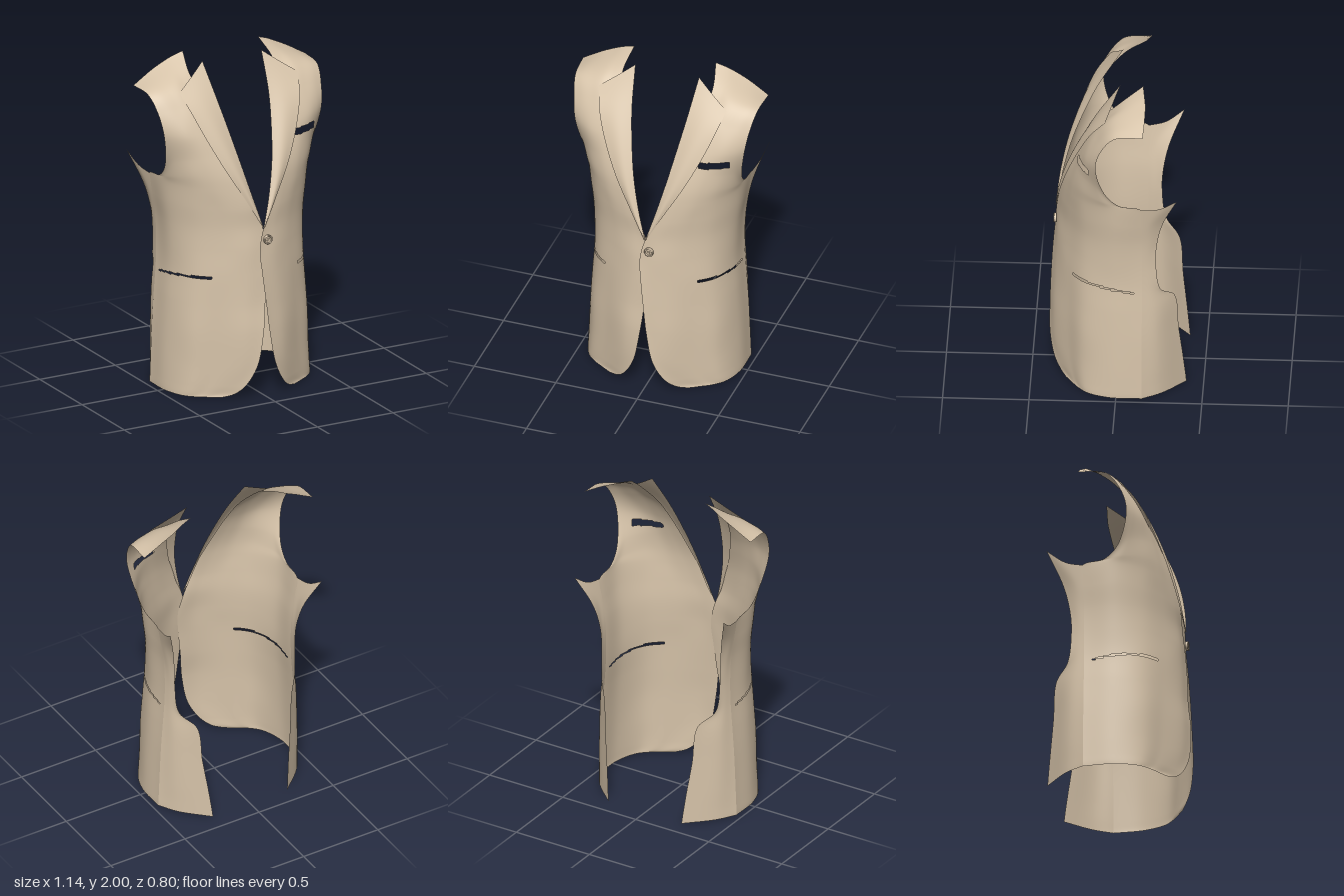
import * as THREE from 'three';

// Lower front rows: height, then x,z pairs from the opening round to the side
const bodyRows = [
  [0.01, 0.24, 0.30, 0.30, 0.262, 0.36, 0.222, 0.42, 0.16, 0.465, 0.03, 0.468, -0.15],
  [0.03, 0.18, 0.335, 0.25, 0.29, 0.33, 0.24, 0.41, 0.175, 0.465, 0.03, 0.468, -0.15],
  [0.08, 0.125, 0.37, 0.20, 0.325, 0.30, 0.26, 0.40, 0.185, 0.463, 0.03, 0.466, -0.15],
  [0.20, 0.06, 0.398, 0.15, 0.36, 0.27, 0.28, 0.39, 0.19, 0.458, 0.03, 0.461, -0.15],
  [0.40, 0.02, 0.40, 0.13, 0.368, 0.26, 0.285, 0.385, 0.19, 0.448, 0.03, 0.452, -0.15],
  [0.57, 0.0, 0.395, 0.12, 0.36, 0.25, 0.285, 0.375, 0.185, 0.438, 0.03, 0.44, -0.15],
  [0.75, -0.02, 0.385, 0.10, 0.355, 0.23, 0.29, 0.36, 0.185, 0.425, 0.03, 0.427, -0.15],
  [0.90, -0.03, 0.372, 0.09, 0.35, 0.22, 0.285, 0.355, 0.18, 0.427, 0.03, 0.425, -0.15],
  [1.03, 0.0, 0.362, 0.10, 0.335, 0.22, 0.28, 0.355, 0.18, 0.435, 0.03, 0.432, -0.15],
];

// Chest rows: x,y,z from the lapel round to the armhole, ending at the shoulder seam
const chestRows = [
  [0.05, 1.15, 0.345, 0.14, 1.15, 0.32, 0.25, 1.16, 0.27, 0.37, 1.16, 0.18, 0.452, 1.17, 0.03, 0.452, 1.17, -0.15],
  [0.09, 1.27, 0.325, 0.18, 1.27, 0.30, 0.28, 1.27, 0.26, 0.38, 1.28, 0.185, 0.46, 1.29, 0.05, 0.47, 1.29, -0.15],
  [0.125, 1.36, 0.30, 0.21, 1.36, 0.28, 0.30, 1.36, 0.25, 0.39, 1.36, 0.19, 0.46, 1.34, 0.085, 0.475, 1.32, -0.02],
  [0.16, 1.47, 0.26, 0.24, 1.47, 0.247, 0.32, 1.46, 0.23, 0.40, 1.45, 0.185, 0.46, 1.43, 0.12, 0.485, 1.40, 0.06],
  [0.20, 1.60, 0.205, 0.27, 1.60, 0.20, 0.34, 1.60, 0.195, 0.41, 1.60, 0.18, 0.47, 1.60, 0.15, 0.52, 1.60, 0.115],
  [0.235, 1.75, 0.115, 0.30, 1.75, 0.12, 0.36, 1.75, 0.12, 0.42, 1.74, 0.115, 0.48, 1.74, 0.10, 0.54, 1.73, 0.08],
  [0.275, 1.90, -0.02, 0.33, 1.88, 0.0, 0.385, 1.865, 0.02, 0.45, 1.85, 0.02, 0.51, 1.84, 0.01, 0.56, 1.825, 0.0],
  [0.25, 2.0, -0.15, 0.32, 1.975, -0.16, 0.38, 1.945, -0.168, 0.45, 1.91, -0.168, 0.51, 1.875, -0.165, 0.57, 1.84, -0.16],
];

// Side panel rows: middle and back edge, carried on from the front rows
const sideRows = [
  [0.40, 0.01, -0.26, 0.25, 0.005, -0.40],
  [0.40, 0.03, -0.26, 0.252, 0.03, -0.398],
  [0.40, 0.08, -0.26, 0.257, 0.08, -0.393],
  [0.405, 0.20, -0.255, 0.27, 0.20, -0.38],
  [0.41, 0.40, -0.245, 0.295, 0.40, -0.357],
  [0.41, 0.58, -0.235, 0.318, 0.63, -0.335],
  [0.415, 0.74, -0.20, 0.39, 0.715, -0.255],
  [0.417, 0.90, -0.19, 0.405, 0.90, -0.23],
  [0.427, 1.03, -0.195, 0.412, 1.03, -0.237],
  [0.452, 1.17, -0.20, 0.44, 1.18, -0.27],
  [0.485, 1.31, -0.25, 0.51, 1.38, -0.355],
];

// Lapel rows: roll line, middle, outer edge
const lapelRows = [
  [0.0, 1.03, 0.364, 0.003, 1.03, 0.368, 0.006, 1.03, 0.368],
  [0.05, 1.20, 0.333, 0.075, 1.20, 0.347, 0.10, 1.20, 0.337],
  [0.10, 1.40, 0.28, 0.155, 1.40, 0.299, 0.215, 1.40, 0.286],
  [0.14, 1.60, 0.20, 0.22, 1.60, 0.222, 0.31, 1.60, 0.212],
  [0.168, 1.76, 0.12, 0.26, 1.74, 0.145, 0.36, 1.73, 0.147],
  [0.195, 1.97, -0.015, 0.29, 1.90, 0.025, 0.392, 1.83, 0.065],
];

const toPoints = (row) => {
  const points = [];
  for (let i = 0; i < row.length; i += 3) points.push(new THREE.Vector3(row[i], row[i + 1], row[i + 2]));
  return points;
};

// Smooth cloth through rows of points, with quads left out where isHole says so
function cloth(rows, side, perCol, perRow, isHole = () => false) {
  const cols = (rows[0].length - 1) * perCol;
  const steps = (rows.length - 1) * perRow;
  const rowCurves = rows.map((r) => new THREE.CatmullRomCurve3(r).getPoints(cols));
  const columns = [];
  for (let c = 0; c <= cols; c++) {
    columns.push(new THREE.CatmullRomCurve3(rowCurves.map((r) => r[c])).getPoints(steps));
  }
  const position = [];
  const index = [];
  for (let r = 0; r <= steps; r++) {
    for (let c = 0; c <= cols; c++) {
      const p = columns[c][r];
      position.push(p.x * side, p.y, p.z);
      if (r === steps || c === cols) continue;
      const centre = p.clone().add(columns[c + 1][r + 1]).multiplyScalar(0.5);
      if (isHole(centre)) continue;
      const a = r * (cols + 1) + c, b = a + 1, d = a + cols + 1, e = d + 1;
      if (side > 0) index.push(a, b, e, a, e, d);
      else index.push(a, e, b, a, d, e);
    }
  }
  const geometry = new THREE.BufferGeometry();
  geometry.setAttribute('position', new THREE.Float32BufferAttribute(position, 3));
  geometry.setIndex(index);
  geometry.computeVertexNormals();
  return geometry;
}

// Pocket openings
const hipSlit = (p) => p.x > 0.28 && p.z > -0.11 && p.y < 0.8
  && Math.abs(p.y - (0.737 - 0.25 * Math.pow(0.27 - p.z, 2))) < 0.005;
const breastSlot = (p) => p.x > 0.275 && p.x < 0.442
  && p.y > 1.507 && p.y < 1.54 + (p.x - 0.28) * 0.06;

export function createModel() {
  const model = new THREE.Group();
  model.name = 'jacketFront';
  const fabric = new THREE.MeshStandardMaterial({ color: 0xd6c3a9, side: THREE.DoubleSide });
  fabric.name = 'tan fabric';
  const add = (name, geometry, parent = model) => {
    const mesh = new THREE.Mesh(geometry, fabric);
    mesh.name = name;
    parent.add(mesh);
    return mesh;
  };

  for (const side of [1, -1]) {
    const label = side > 0 ? 'left' : 'right';
    const lower = bodyRows.map(([y, ...xz]) => {
      const points = [];
      for (let i = 0; i < xz.length; i += 2) points.push(new THREE.Vector3(xz[i], y, xz[i + 1]));
      return points;
    });
    const front = [...lower, ...chestRows.map(toPoints)];
    // The right front tucks under the left where they overlap
    if (side < 0) front.slice(5, 9).forEach((r) => { r[0].z -= 0.014; r[1].z -= 0.004; });
    const sidePanel = sideRows.map((r, i) => [front[i][5], ...toPoints(r)]);

    add(label + 'FrontPanel', cloth(front, side, 8, 24,
      (p) => hipSlit(p) || (side > 0 && breastSlot(p))));
    add(label + 'SidePanel', cloth(sidePanel, side, 6, 8));
    add(label + 'Lapel', cloth(lapelRows.map(toPoints), side, 6, 6));
  }

  // Button with raised rim and cross stitch
  const button = new THREE.Group();
  button.name = 'button';
  button.position.set(0.025, 0.955, 0.368);
  const disc = add('buttonDisc', new THREE.CylinderGeometry(0.027, 0.027, 0.012, 24), button);
  disc.rotation.x = Math.PI / 2;
  const rim = add('buttonRim', new THREE.TorusGeometry(0.023, 0.005, 8, 24), button);
  rim.position.z = 0.006;
  for (const turn of [1, -1]) {
    const stitch = add('buttonStitch', new THREE.BoxGeometry(0.02, 0.004, 0.005), button);
    stitch.position.z = 0.008;
    stitch.rotation.z = turn * Math.PI / 4;
  }
  model.add(button);
  return model;
}
